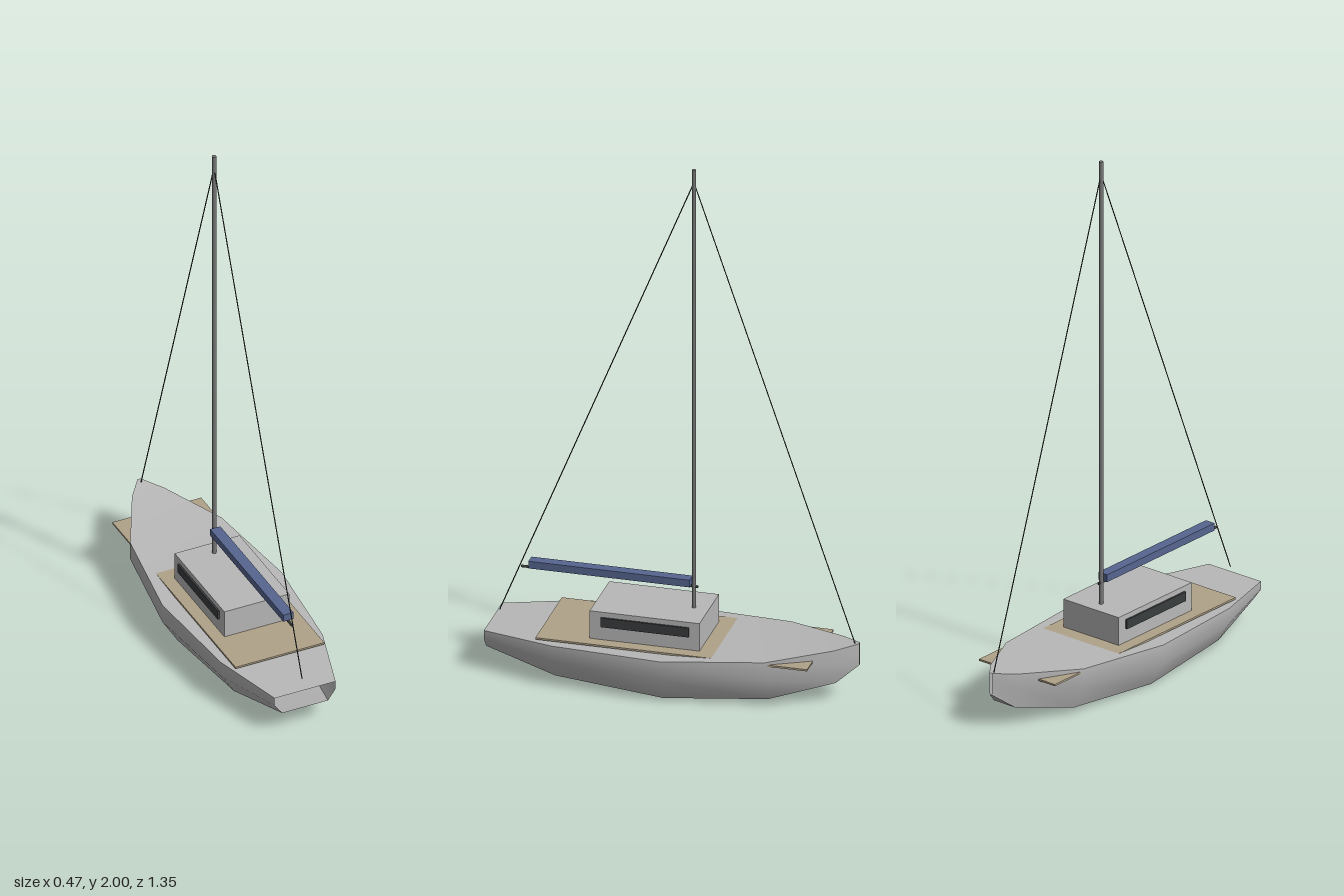
import * as THREE from 'three';
import { toCreasedNormals } from 'three/addons/utils/BufferGeometryUtils.js';

const mat = (name, color, side = THREE.FrontSide) => {
  const m = new THREE.MeshStandardMaterial({ color, side });
  m.name = name;
  return m;
};

// Hull shell: hexagonal sections lofted from stern to bow, open at both ends
function hullGeometry() {
  // z, half width, keel height, sheer height
  const stations = [
    [0.675, 0.12, 0.085, 0.158],
    [0.405, 0.2, 0.03, 0.167],
    [0, 0.235, 0.004, 0.172],
    [-0.375, 0.18, 0.028, 0.19],
    [-0.6, 0.064, 0.08, 0.213],
    [-0.675, 0.006, 0.14, 0.224],
  ];
  const pos = [], index = [], n = 6;
  for (const [z, w, keel, top] of stations) {
    const chine = keel + (top - keel) * 0.57;
    const ring = [[0.75 * w, keel], [w, chine], [w, top], [-w, top], [-w, chine], [-0.75 * w, keel]];
    for (const [x, y] of ring) pos.push(x, y, z);
  }
  for (let i = 0; i < stations.length - 1; i++) {
    for (let j = 0; j < n; j++) {
      const a = i * n + j, b = i * n + (j + 1) % n;
      index.push(a, a + n, b, b, a + n, b + n);
    }
  }
  const g = new THREE.BufferGeometry();
  g.setAttribute('position', new THREE.Float32BufferAttribute(pos, 3));
  g.setIndex(index);
  return toCreasedNormals(g, Math.PI / 4);
}

export function createModel() {
  const boat = new THREE.Group();
  boat.name = 'sailboat';

  const white = mat('hullGrey', 0xb8b8b8, THREE.DoubleSide);
  const teak = mat('teak', 0xb0a288);
  const spar = mat('sparGrey', 0x777777);
  const dark = mat('darkTrim', 0x3a3d3e);
  const canvas = mat('blueCanvas', 0x566690);

  const add = (name, geometry, material, x = 0, y = 0, z = 0) => {
    const mesh = new THREE.Mesh(geometry, material);
    mesh.name = name;
    mesh.position.set(x, y, z);
    boat.add(mesh);
    return mesh;
  };
  const box = (name, material, [w, h, d], [x, y, z]) =>
    add(name, new THREE.BoxGeometry(w, h, d), material, x, y, z);
  // Round bar between two points on the centreline, given as [y, z]
  const bar = (name, material, [y0, z0], [y1, z1], radius, sides) => {
    const a = new THREE.Vector3(0, y0, z0), b = new THREE.Vector3(0, y1, z1);
    const dir = b.clone().sub(a);
    const mesh = add(name, new THREE.CylinderGeometry(radius, radius, dir.length(), sides), material);
    mesh.position.copy(a).add(b).multiplyScalar(0.5);
    mesh.quaternion.setFromUnitVectors(new THREE.Vector3(0, 1, 0), dir.normalize());
    return mesh;
  };

  // Hull, deck planking and cabin
  add('hull', hullGeometry(), white);
  box('deckPlanking', teak, [0.35, 0.007, 1.0], [0, 0.177, -0.03]);
  box('cabin', white, [0.256, 0.11, 0.404], [0, 0.233, 0.081]);
  for (const side of [-1, 1]) {
    box(side > 0 ? 'leftWindow' : 'rightWindow', dark, [0.008, 0.036, 0.324], [side * 0.131, 0.25, 0.08]);
  }

  // Mast, boom and furled sail cover
  bar('mast', spar, [0.285, -0.065], [2, -0.065], 0.008, 12);
  bar('boom', dark, [0.37, -0.08], [0.37, 0.57], 0.005, 8);
  box('sailCover', canvas, [0.04, 0.028, 0.594], [0, 0.387, 0.242]);

  // Stays from the masthead to stern and bow
  bar('backstay', dark, [1.95, -0.065], [0.19, 0.65], 0.002, 6);
  bar('forestay', dark, [1.95, -0.065], [0.22, -0.658], 0.002, 6);

  return boat;
}
